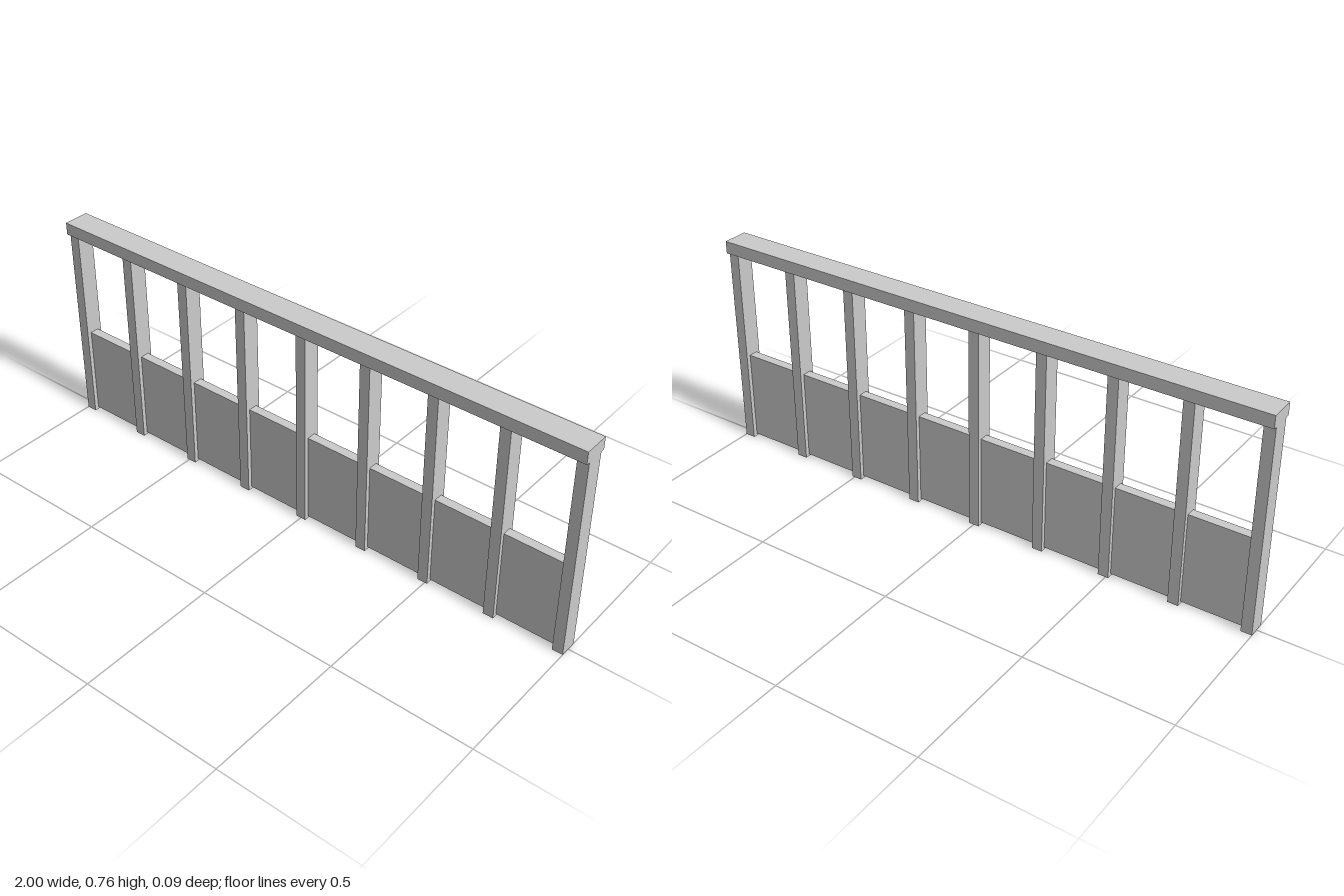
import * as THREE from 'three';

const POSTS = 9;
const POST_WIDTH = 0.037;
const POST_DEPTH = 0.062;
const RAIL_BOTTOM = 0.715;
const RAIL_TOP = 0.758;
const PANEL_BOTTOM = 0.008;
const PANEL_TOP = 0.326;

export function createModel() {
  const model = new THREE.Group();
  model.name = 'railing';
  const material = new THREE.MeshStandardMaterial({ color: 0xcccccc, flatShading: true });

  // Box placed by its centre in x and its bottom and top heights
  function addBox(name, x, bottom, top, width, depth) {
    const mesh = new THREE.Mesh(new THREE.BoxGeometry(width, top - bottom, depth), material);
    mesh.position.set(x, (bottom + top) / 2, 0);
    mesh.name = name;
    model.add(mesh);
  }

  // Handrail along the top
  addBox('topRail', 0, RAIL_BOTTOM, RAIL_TOP, 2, 0.09);

  // Evenly spaced posts, with a recessed panel filling the lower part of each bay
  const spacing = (2 - POST_WIDTH) / (POSTS - 1);
  for (let i = 0; i < POSTS; i++) {
    const x = (i - (POSTS - 1) / 2) * spacing;
    addBox(`post${i + 1}`, x, 0, RAIL_BOTTOM, POST_WIDTH, POST_DEPTH);
    if (i < POSTS - 1) {
      addBox(`panel${i + 1}`, x + spacing / 2, PANEL_BOTTOM, PANEL_TOP, spacing - POST_WIDTH, 0.032);
    }
  }

  return model;
}
